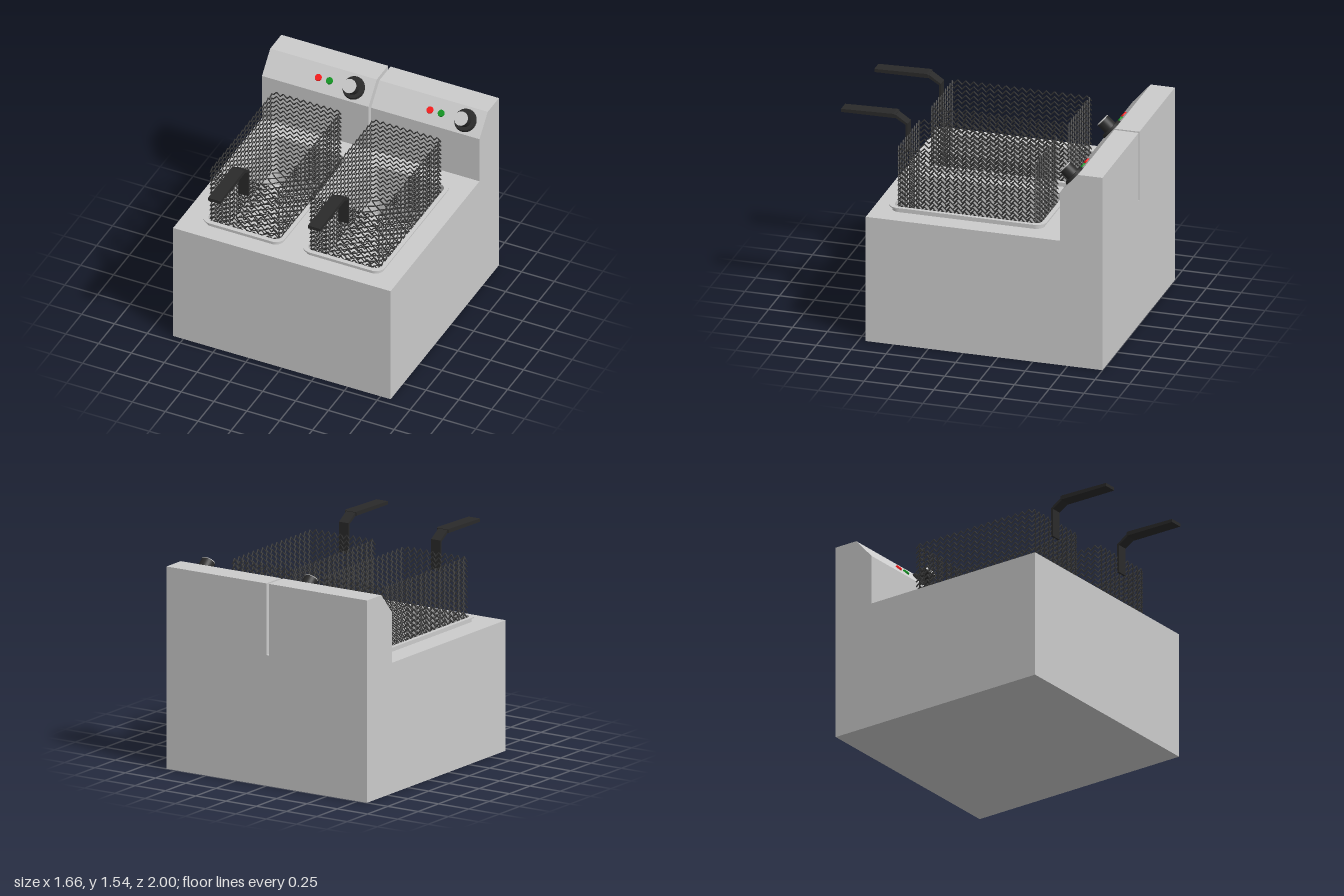
import * as THREE from 'three';
import { mergeGeometries } from 'three/addons/utils/BufferGeometryUtils.js';

const mat = (color) => new THREE.MeshStandardMaterial({ color });
const steel = mat(0xcccccc), black = mat(0x2a2a2a), wireMat = mat(0x3a3a3a);
const red = mat(0xff1a1a), green = mat(0x119922);

const HALF = 0.828, DECK = 0.925, TANK_FLOOR = 0.55, BASKET_FLOOR = 0.7;
const TANK_Z = 0.025; // centre of the tanks and baskets along z is close to this

function add(parent, name, geometry, material, x = 0, y = 0, z = 0) {
  const m = new THREE.Mesh(geometry, material);
  m.name = name;
  m.position.set(x, y, z);
  parent.add(m);
  return m;
}

function roundedRect(Type, hw, hd, r, cx = 0, cy = 0) {
  const s = new Type();
  s.moveTo(cx + hw, cy - hd + r);
  s.absarc(cx + hw - r, cy + hd - r, r, 0, Math.PI / 2);
  s.absarc(cx - hw + r, cy + hd - r, r, Math.PI / 2, Math.PI);
  s.absarc(cx - hw + r, cy - hd + r, r, Math.PI, Math.PI * 1.5);
  s.absarc(cx + hw - r, cy - hd + r, r, Math.PI * 1.5, Math.PI * 2);
  return s;
}

// Extrudes a plan shape (x, -z) upward
function extrudeUp(shape, height) {
  return new THREE.ExtrudeGeometry(shape, { depth: height, bevelEnabled: false, curveSegments: 8 })
    .rotateX(-Math.PI / 2);
}

// Extrudes a side profile of [z, y] points across x, centred on x = 0
function extrudeAcross(points, width) {
  const shape = new THREE.Shape(points.map((p) => new THREE.Vector2(...p)));
  return new THREE.ExtrudeGeometry(shape, { depth: width, bevelEnabled: false })
    .rotateY(-Math.PI / 2).translate(width / 2, 0, 0);
}

// Sheet of zigzag wires in the XY plane, running along x, starting at y = 0
function wireSheet(width, height, pitch, period, amp, mirrorRows) {
  const parts = [];
  const steps = Math.round(width / (period / 2));
  const rows = Math.floor((height - 2 * amp) / pitch + 0.001);
  const up = new THREE.Vector3(0, 1, 0);
  for (let r = 0; r <= rows; r++) {
    const flip = mirrorRows && r % 2 ? -1 : 1;
    const at = (i) => new THREE.Vector3(-width / 2 + (i * width) / steps,
      amp + r * pitch + (i % 2 ? amp : -amp) * flip, (i % 2 ? 1 : -1) * 0.003);
    for (let i = 0; i < steps; i++) {
      const a = at(i), b = at(i + 1), d = b.clone().sub(a);
      const g = new THREE.CylinderGeometry(0.0045, 0.0045, d.length() + 0.004, 4, 1, true);
      g.applyQuaternion(new THREE.Quaternion().setFromUnitVectors(up, d.normalize()));
      parts.push(g.translate((a.x + b.x) / 2, (a.y + b.y) / 2, (a.z + b.z) / 2));
    }
  }
  return mergeGeometries(parts);
}

function createBasket() {
  const g = new THREE.Group();
  g.name = 'basket';
  const hw = 0.257, z0 = -0.46, z1 = 0.525, zc = (z0 + z1) / 2, len = z1 - z0;
  const h = 1.395 - BASKET_FLOOR;
  const endWall = wireSheet(hw * 2, h, 0.036, 0.052, 0.016, false);
  const sideWall = wireSheet(len, h, 0.036, 0.058, 0.016, false);
  add(g, 'basketFrontWall', endWall, wireMat, 0, BASKET_FLOOR, z1);
  add(g, 'basketBackWall', endWall, wireMat, 0, BASKET_FLOOR, z0);
  for (const s of [-1, 1]) {
    add(g, 'basketSideWall', sideWall, wireMat, s * hw, BASKET_FLOOR, zc).rotation.y = Math.PI / 2;
  }
  const floor = wireSheet(len, hw * 2, 0.046, 0.07, 0.023, true);
  floor.rotateX(-Math.PI / 2).rotateY(Math.PI / 2).translate(hw, 0, 0);
  add(g, 'basketFloor', floor, wireMat, 0, BASKET_FLOOR, zc);

  // Bent strap and flat grip
  add(g, 'handleStrap', extrudeAcross([
    [0.525, 1.25], [0.54, 1.25], [0.54, 1.455], [0.625, 1.505], [0.66, 1.505],
    [0.66, 1.52], [0.615, 1.525], [0.525, 1.465]], 0.076), black);
  add(g, 'handleGrip', extrudeAcross([
    [0.61, 1.5], [1, 1.497], [1, 1.52], [0.625, 1.53], [0.61, 1.525]], 0.094), black);
  return g;
}

// Thermostat knob and lamps standing on the sloped panel
function createControls(x) {
  const g = new THREE.Group();
  g.name = 'controls';
  g.position.set(x, 1.3575, -0.76);
  g.rotation.x = Math.atan2(0.145, 0.13);
  add(g, 'knobBase', new THREE.CylinderGeometry(0.074, 0.082, 0.02, 32), black, 0.21, 0.01, 0);
  add(g, 'knob', new THREE.CylinderGeometry(0.05, 0.05, 0.075, 32), black, 0.21, 0.055, 0);
  add(g, 'knobCap', new THREE.CylinderGeometry(0.05, 0.05, 0.004, 32), steel, 0.21, 0.0945, 0);
  const lamp = new THREE.CylinderGeometry(0.022, 0.026, 0.012, 20);
  add(g, 'redLamp', lamp, red, -0.06, 0.005, 0);
  add(g, 'greenLamp', lamp, green, 0.025, 0.005, 0);
  return g;
}

export function createModel() {
  const model = new THREE.Group();
  model.name = 'doubleFryer';
  const centres = [-0.37, 0.39];

  // Cabinet: solid base with a deck pierced by two tanks
  add(model, 'cabinetBase', new THREE.BoxGeometry(HALF * 2, TANK_FLOOR, 1.7), steel, 0, TANK_FLOOR / 2, -0.15);
  const deck = new THREE.Shape([[-HALF, -0.7], [HALF, -0.7], [HALF, 1], [-HALF, 1]]
    .map((p) => new THREE.Vector2(...p)));
  for (const x of centres) deck.holes.push(roundedRect(THREE.Path, 0.278, 0.53, 0.05, x, -TANK_Z));
  add(model, 'cabinetDeck', extrudeUp(deck, DECK - TANK_FLOOR), steel, 0, TANK_FLOOR, 0);

  // Two control housings with a narrow gap between them
  const profile = [[-1, DECK], [-0.695, DECK], [-0.695, 1.285], [-0.825, 1.432], [-1, 1.432]];
  for (const [a, b] of [[-HALF, -0.017], [0.003, HALF]]) {
    add(model, 'controlHousing', extrudeAcross(profile, b - a), steel, (a + b) / 2, 0, 0);
  }

  centres.forEach((x, i) => {
    // Raised collar and thin flange around each tank
    const collar = roundedRect(THREE.Shape, 0.292, 0.545, 0.06);
    collar.holes.push(roundedRect(THREE.Path, 0.278, 0.53, 0.05));
    add(model, 'tankCollar', extrudeUp(collar, 0.03), steel, x, DECK, TANK_Z);
    const flange = roundedRect(THREE.Shape, 0.307, 0.563, 0.07);
    flange.holes.push(roundedRect(THREE.Path, 0.278, 0.53, 0.05));
    add(model, 'tankFlange', extrudeUp(flange, 0.008), steel, x, DECK + 0.028, TANK_Z);

    const basket = createBasket();
    basket.position.set(x, i * 0.012, 0);
    model.add(basket);
    model.add(createControls([-0.37, 0.48][i]));
  });
  return model;
}
